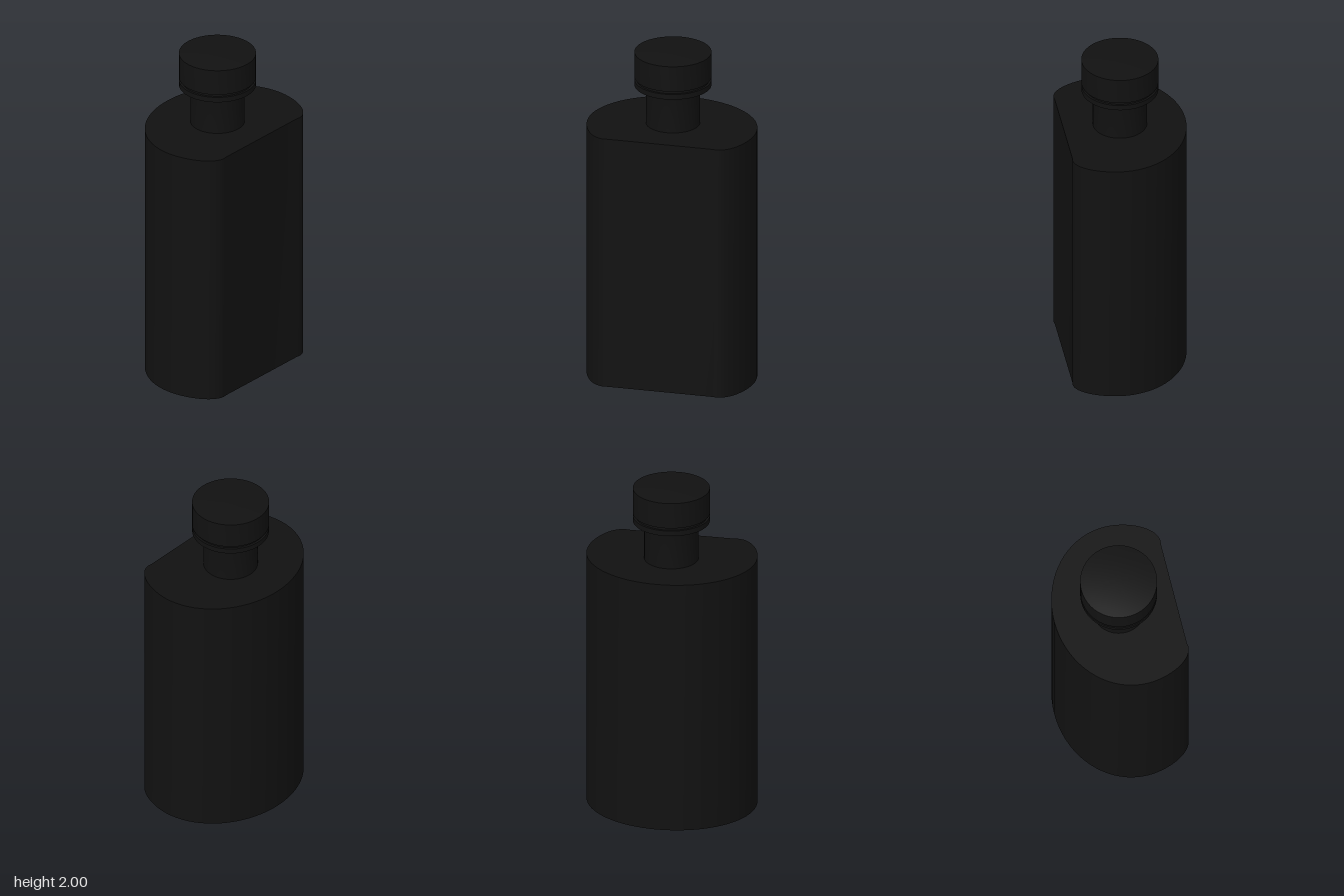
import * as THREE from 'three';
import { toCreasedNormals } from 'three/addons/utils/BufferGeometryUtils.js';

const BODY_HEIGHT = 1.545;
const CREASE = 0.6;

// Flask footprint: elliptical back, rounded corners, flat front (shape y = -z)
function footprint() {
  const s = new THREE.Shape();
  s.moveTo(0, -0.352);
  s.lineTo(0.31, -0.352);
  s.lineTo(0.33, -0.355);
  s.bezierCurveTo(0.42, -0.355, 0.493, -0.2, 0.493, -0.07);
  s.absellipse(0, -0.07, 0.493, 0.425, 0, Math.PI, false);
  s.bezierCurveTo(-0.493, -0.2, -0.42, -0.355, -0.33, -0.355);
  s.lineTo(-0.31, -0.352);
  s.lineTo(0, -0.352);
  return s;
}

// Upright wall: a plane strip wrapped around the outline
function wallGeometry(shape) {
  const pts = shape.getPoints(18);
  const n = pts.length - 1;
  const geo = new THREE.PlaneGeometry(1, 1, n, 1);
  const pos = geo.attributes.position;
  for (let i = 0; i < pos.count; i++) {
    const p = pts[i % (n + 1)];
    pos.setXYZ(i, p.x, i <= n ? BODY_HEIGHT : 0, -p.y);
  }
  return toCreasedNormals(geo, CREASE);
}

function lathe(profile) {
  const pts = profile.map(([r, y]) => new THREE.Vector2(r, y));
  return toCreasedNormals(new THREE.LatheGeometry(pts, 48), CREASE);
}

export function createModel() {
  const model = new THREE.Group();
  const black = new THREE.MeshStandardMaterial({ color: 0x111111, side: THREE.DoubleSide });
  const add = (name, geo, parent = model) => {
    const mesh = new THREE.Mesh(geo, black);
    mesh.name = name;
    parent.add(mesh);
    return mesh;
  };

  // Hollow body, open underneath
  const shape = footprint();
  add('bodyWall', wallGeometry(shape));
  add('bodyTop', new THREE.ShapeGeometry(shape, 18).rotateX(-Math.PI / 2)).position.y = BODY_HEIGHT;

  // Neck and stopper share one axis
  const stopper = new THREE.Group();
  stopper.name = 'neckAndCap';
  stopper.position.set(-0.006, 0, 0.024);
  model.add(stopper);

  // Neck with a rounded flare below the cap
  const neck = [[0.156, BODY_HEIGHT]];
  for (let i = 0; i <= 6; i++) {
    const a = (i / 6) * Math.PI / 2;
    neck.push([0.194 - 0.038 * Math.cos(a), 1.743 + 0.038 * Math.sin(a)]);
  }
  add('neck', lathe(neck), stopper);

  // Ring, narrow groove and cap
  add('capRing', lathe([[0.15, 1.781], [0.221, 1.781], [0.221, 1.813], [0.208, 1.813]]), stopper);
  add('capGroove', lathe([[0.208, 1.813], [0.208, 1.83]]), stopper);
  const cap = [[0.208, 1.83], [0.221, 1.83], [0.221, 1.986]];
  for (let i = 5; i >= 0; i--) {
    const t = i / 6;
    cap.push([0.221 * t, 2 - 0.014 * t * t]);
  }
  add('cap', lathe(cap), stopper);

  return model;
}
